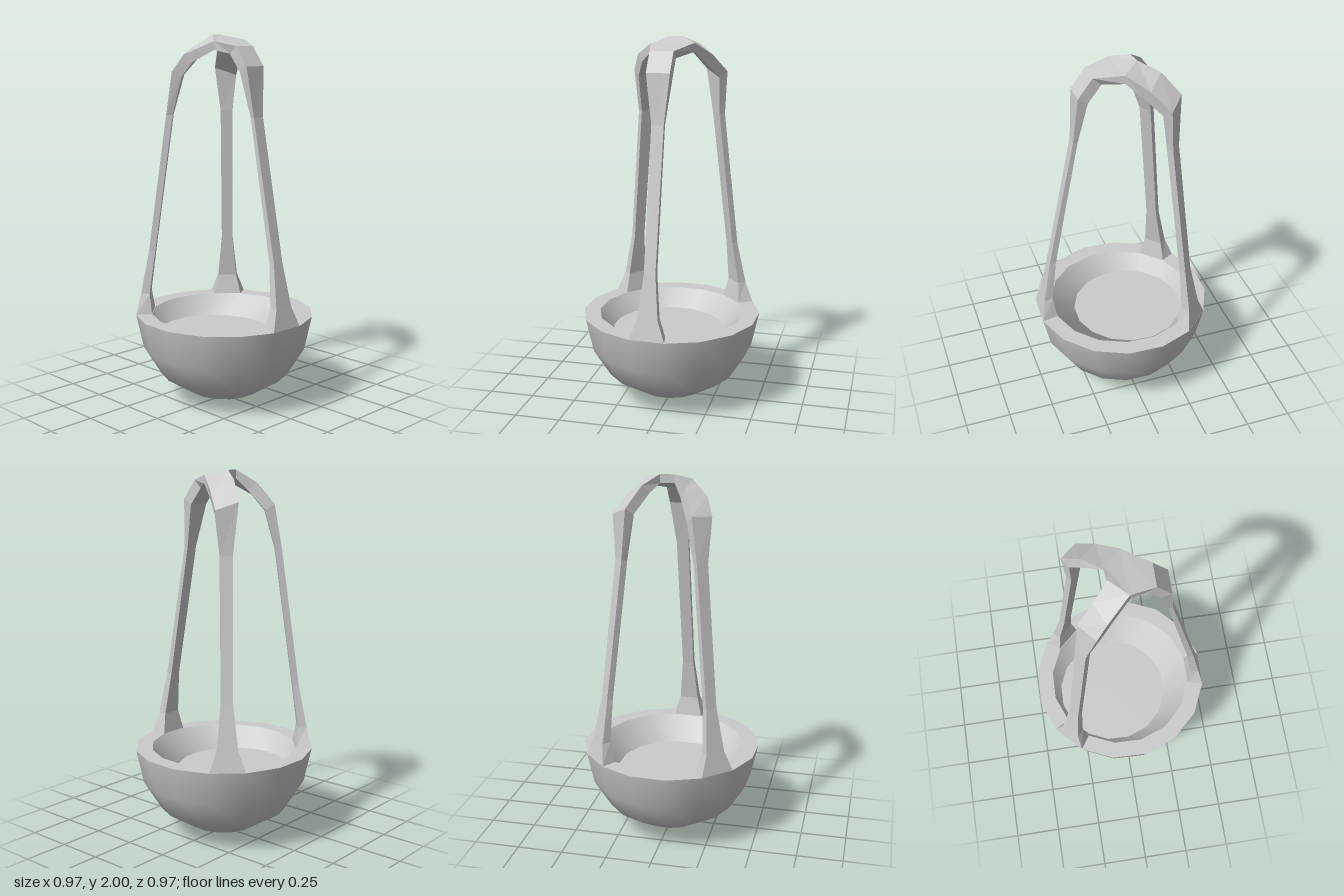
import * as THREE from 'three';

const V = (x, y, z) => new THREE.Vector3(x, y, z);
const rad = THREE.MathUtils.degToRad;
const SIDES = 16, TURN = -2, RIM = 0.49, FLOOR = 0.375;

const smooth = new THREE.MeshStandardMaterial({ color: 0xcccccc });
const flat = new THREE.MeshStandardMaterial({ color: 0xcccccc, flatShading: true });

function mesh(name, geometry, material) {
  const m = new THREE.Mesh(geometry, material);
  m.name = name;
  return m;
}

// Revolved strip; each strip keeps its own normals so the rim stays sharp
function lathe(name, profile) {
  const points = profile.map(([r, y]) => new THREE.Vector2(r, y));
  const geo = new THREE.LatheGeometry(points, SIDES, rad(TURN + 180 / SIDES));
  return mesh(name, geo, smooth);
}

// The floor of the hollow sits a little off centre
function shiftFloor(m) {
  const p = m.geometry.attributes.position;
  for (let i = 0; i < p.count; i++) {
    if (p.getY(i) < RIM - 0.01) p.setXYZ(i, p.getX(i) - 0.03, p.getY(i), p.getZ(i) - 0.05);
  }
  return m;
}

function quads(list) {
  const pts = list.flatMap(([a, b, c, d]) => [a, b, c, a, c, d]);
  const geo = new THREE.BufferGeometry().setFromPoints(pts);
  geo.computeVertexNormals();
  return geo;
}

// Joins four-cornered sections into a bar
function loft(rings) {
  const faces = [];
  for (let k = 0; k + 1 < rings.length; k++) {
    for (let i = 0; i < 4; i++) {
      const j = (i + 1) % 4;
      faces.push([rings[k][i], rings[k][j], rings[k + 1][j], rings[k + 1][i]]);
    }
  }
  return quads(faces);
}

// Leg: flared foot, slim shaft, then a wider shoulder bending into the hub
function leg(name, angle, shaftOut, shaftIn, shoulder, bend, hubEdge) {
  const a = rad(angle);
  const u = V(Math.sin(a), 0, Math.cos(a)), t = V(Math.cos(a), 0, -Math.sin(a));
  const at = (r, w, y) => u.clone().multiplyScalar(r).addScaledVector(t, w).setY(y);
  const lower = [
    // y, outer radius, inner radius, outer half width, inner half width
    [RIM, 0.48, 0.395, 0.096, 0.078],
    [0.6, 0.457, 0.41, 0.055, 0.052],
    [0.835, 0.412, 0.378, 0.031, 0.031],
    [1.58, shaftOut, shaftIn, 0.033, 0.033],
  ].map(([y, ro, ri, wo, wi]) => [at(ro, -wo, y), at(ro, wo, y), at(ri, wi, y), at(ri, -wi, y)]);
  const upper = [[shoulder, 0.05, 0.03], [bend, 0.045, 0.04], [hubEdge, 0, 0.045]]
    .map(([[l, r], inward, down]) => {
      const inner = (p) => p.clone().addScaledVector(u, -inward).setY(p.y - down);
      return [l, r, inner(r), inner(l)];
    });
  return mesh(name, loft([...lower, ...upper]), flat);
}

export function createModel() {
  const group = new THREE.Group();

  // Bowl
  const bowl = new THREE.Group();
  bowl.name = 'bowl';
  bowl.add(
    lathe('bowlOutside', [[0, 0], [0.19, 0.045], [0.355, 0.15], [0.45, 0.305], [0.49, RIM]]),
    lathe('bowlRim', [[0.49, RIM], [0.4, RIM]]),
    shiftFloor(lathe('bowlInsideWall', [[0.4, RIM], [0.31, FLOOR]])),
    shiftFloor(lathe('bowlFloor', [[0.31, FLOOR], [0, FLOOR]])),
  );
  group.add(bowl);

  // Hub where the three legs meet
  const A = V(-0.105, 1.967, 0.03), B = V(0.13, 1.975, 0.02);
  const C = V(0.045, 2, -0.07), D = V(-0.03, 2, -0.06);
  const [a, b, c, d] = [A, B, C, D].map((p) => p.clone().setY(p.y - 0.045));
  group.add(mesh('hub', quads([[A, B, C, D], [d, c, b, a], [C, c, d, D]]), flat));

  // Legs
  group.add(
    leg('frontLeg', TURN, 0.26, 0.236,
      [V(-0.075, 1.84, 0.237), V(0.05, 1.84, 0.237)],
      [V(-0.075, 1.943, 0.16), V(0.05, 1.943, 0.16)], [A, B]),
    leg('backLeftLeg', TURN + 135, 0.315, 0.28,
      [V(0.267, 1.81, -0.174), V(0.18, 1.85, -0.254)],
      [V(0.205, 1.905, -0.085), V(0.115, 1.955, -0.168)], [B, C]),
    leg('backRightLeg', TURN - 135, 0.31, 0.275,
      [V(-0.153, 1.82, -0.223), V(-0.243, 1.81, -0.147)],
      [V(-0.1, 1.935, -0.14), V(-0.207, 1.9, -0.09)], [D, A]),
  );
  return group;
}
